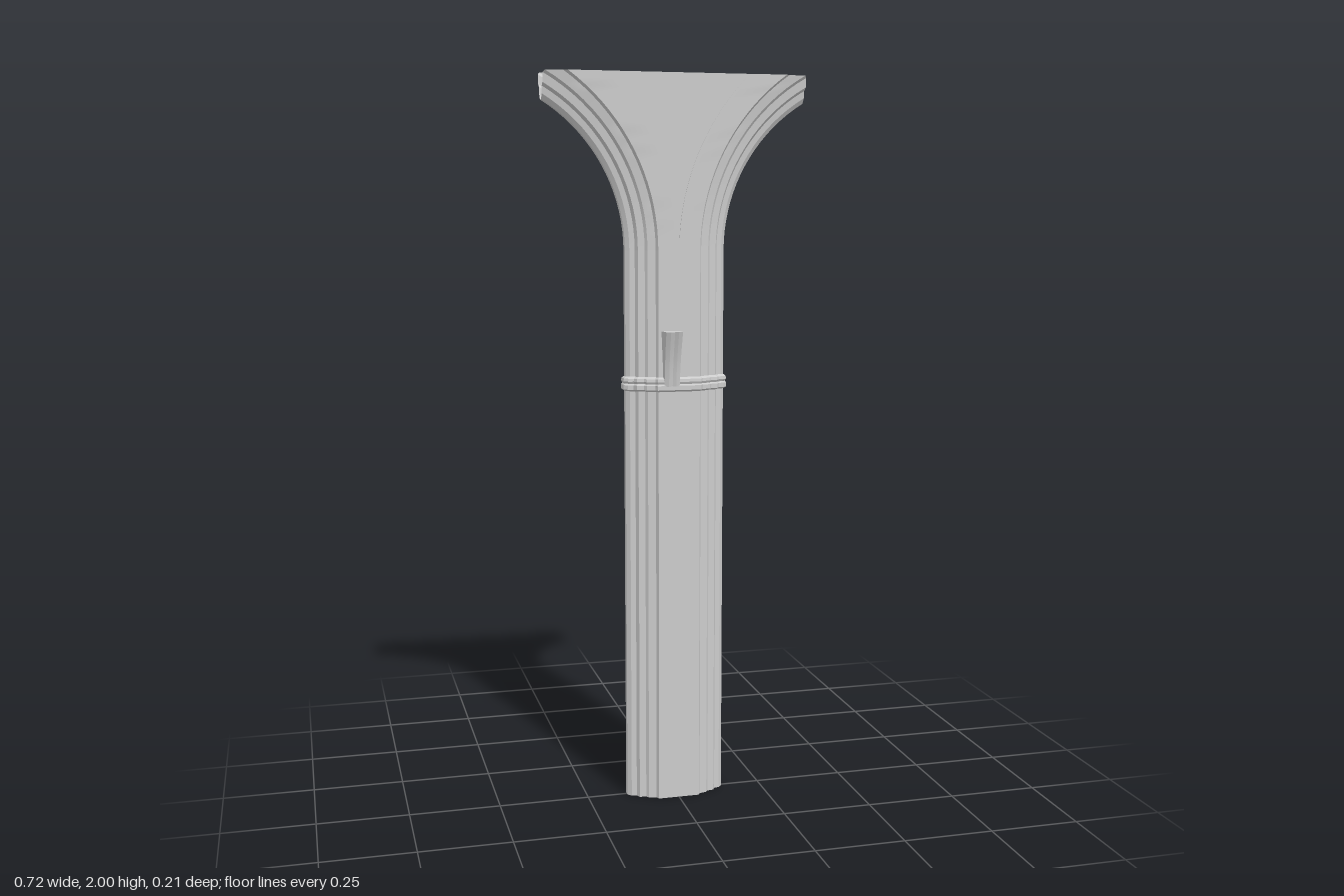
import * as THREE from 'three';
import { toCreasedNormals } from 'three/addons/utils/BufferGeometryUtils.js';

const SPRING = 1.535, TOP = 2, REACH = 0.36, HALF = 0.06, STEPS = 18;

// Moulding from the middle of the face out to the nose: [distance from axis, depth]
const moulding = [
  [0, 0.06], [0.058, 0.06], [0.063, 0.05], [0.084, 0.045], [0.09, 0.037],
  [0.108, 0.034], [0.114, 0.022], [0.128, 0.019], [0.138, 0.009],
];
const profile = [...moulding, ...moulding.map(([d, z]) => [d, -z]).reverse()];

// Surface through rows of points
function skin(rows) {
  const n = rows[0].length, index = [];
  for (let i = 0; i < rows.length - 1; i++) {
    for (let j = 0; j < n - 1; j++) {
      const a = i * n + j, b = a + 1, c = b + n, d = a + n;
      index.push(a, b, c, a, c, d);
    }
  }
  const geo = new THREE.BufferGeometry();
  geo.setAttribute('position', new THREE.Float32BufferAttribute(rows.flat(2), 3));
  geo.setIndex(index);
  return toCreasedNormals(geo, 0.45);
}

// Point on the outward-bending arc that starts at distance d from the axis,
// stopped by the level top or by the upright end plane
function flare(d, t) {
  const r = 0.652 - 1.4 * d;
  const toTop = Math.asin(Math.min(1, (TOP - SPRING) / r));
  const toEnd = Math.acos(1 - (REACH - d) / r);
  const angle = t * Math.min(toTop, toEnd);
  return [d + r * (1 - Math.cos(angle)), SPRING + r * Math.sin(angle)];
}

export function createModel() {
  const model = new THREE.Group();
  const material = new THREE.MeshStandardMaterial({ color: 0xcccccc, side: THREE.DoubleSide });
  const ts = Array.from({ length: STEPS + 1 }, (_, i) => i / STEPS);

  const add = (parent, name, geometry) => {
    const mesh = new THREE.Mesh(geometry, material);
    mesh.name = name;
    parent.add(mesh);
  };

  // Half of the moulded shaft
  const shaft = skin([0, SPRING].map(y => profile.map(([d, z]) => [d, y, z])));

  // Moulded rib curving outward
  const rib = skin(ts.map(t => profile.map(([d, z]) => [...flare(d, t), z])));

  // Upper side of the rib, inside the valley
  const valley = skin(ts.map(t => [-HALF, HALF].map(z => [...flare(0, t), z])));

  // Level bearing surface on top of the rib
  const seat = skin([[0.19, 0.045], [0.27, 0.045]].map(([x, z]) => [[x, TOP, -z], [x, TOP, z]]).reverse());

  // Collar band following the moulding
  const collarSteps = [[1.155, 0], [1.16, 0.007], [1.172, 0.007], [1.176, 0.004], [1.182, 0.007], [1.19, 0.006], [1.195, 0]];
  const collar = skin(collarSteps.map(([y, o]) =>
    profile.map(([d, z]) => [d * (1 + o / 0.138), y, z + Math.sign(z) * o])));

  // Flared bracket with a scalloped front edge
  const scallop = [[-0.046, 0], [-0.034, 1], [-0.022, 0.3], [-0.012, 1], [0, 0]];
  const bracketRow = (y, z, w) => [
    [-0.05 * w, y, 0.055],
    ...scallop.map(([x, k]) => [x * w, y, z + 0.005 * k]),
    [0, y, 0.055],
  ];
  const bracket = skin([
    bracketRow(1.17, 0.065, 0.92), bracketRow(1.21, 0.07, 0.93), bracketRow(1.25, 0.078, 0.95),
    bracketRow(1.29, 0.09, 0.98), bracketRow(1.32, 0.1, 1),
    bracketRow(1.32, 0.05, 1),
  ]);

  // Spandrel filling the face between the two ribs
  const edge = ts.map(t => flare(0, t));
  const outline = [...edge, ...edge.slice(1).reverse().map(([x, y]) => [-x, y])];
  const spandrel = new THREE.ShapeGeometry(new THREE.Shape(outline.map(p => new THREE.Vector2(...p))));
  spandrel.translate(0, 0, 0.058);

  // Two identical halves turned about the axis
  for (const [name, turn] of [['leftHalf', 0], ['rightHalf', Math.PI]]) {
    const half = new THREE.Group();
    half.name = name;
    half.rotation.y = turn;
    add(half, 'shaft', shaft);
    add(half, 'rib', rib);
    add(half, 'ribUpperSide', valley);
    add(half, 'ribSeat', seat);
    add(half, 'collar', collar);
    add(half, 'bracket', bracket);
    add(half, 'spandrel', spandrel);
    model.add(half);
  }
  return model;
}
